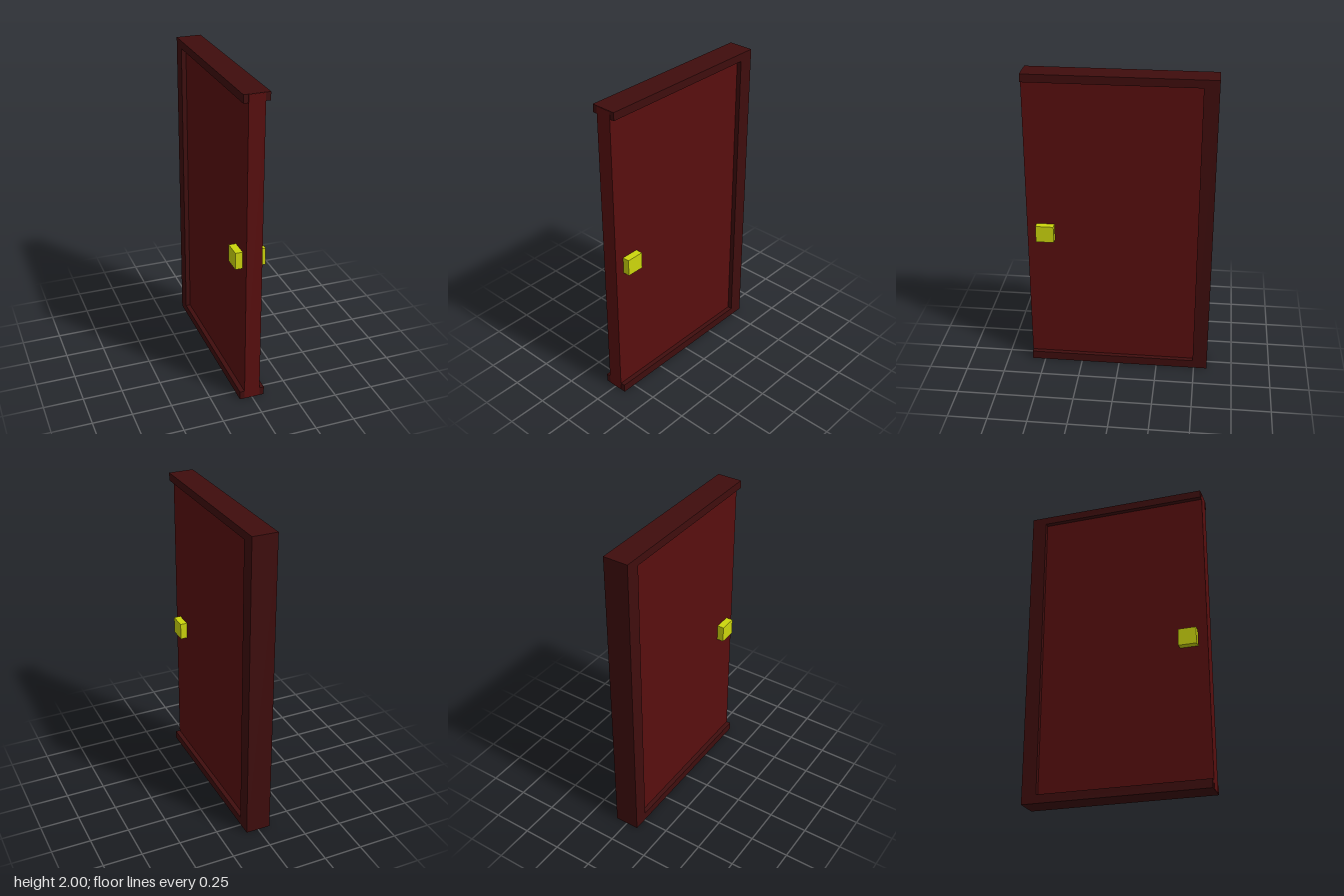
import * as THREE from 'three';

export function createModel() {
  const group = new THREE.Group();
  const material = (name, color) => {
    const m = new THREE.MeshStandardMaterial({ color });
    m.name = name;
    return m;
  };
  const panelRed = material('panel red', 0x580e0e);
  const frameRed = material('dark frame red', 0x3f0d0d);
  const brass = material('handle yellow', 0xcdd60c);

  // Box given by its lower and upper corners
  const addBox = (name, mat, [x0, y0, z0], [x1, y1, z1]) => {
    const mesh = new THREE.Mesh(new THREE.BoxGeometry(x1 - x0, y1 - y0, z1 - z0), mat);
    mesh.name = name;
    mesh.position.set((x0 + x1) / 2, (y0 + y1) / 2, (z0 + z1) / 2);
    group.add(mesh);
  };

  // Door leaf, its front edge just proud of the rail ends
  addBox('doorPanel', panelRed, [-0.05, 0.002, -0.55], [0.05, 1.998, 0.588]);

  // Frame: hinge post with top and bottom rails
  addBox('hingePost', frameRed, [-0.08, 0, -0.586], [0.08, 2, -0.492]);
  addBox('topRail', frameRed, [-0.08, 1.95, -0.492], [0.08, 2, 0.586]);
  addBox('bottomRail', frameRed, [-0.08, 0, -0.492], [0.08, 0.055, 0.586]);

  // Handle block on each face
  for (const [name, side] of [['leftHandle', 1], ['rightHandle', -1]]) {
    const xs = [0.045 * side, 0.095 * side].sort((a, b) => a - b);
    addBox(name, brass, [xs[0], 0.903, 0.413], [xs[1], 1.012, 0.527]);
  }
  return group;
}
